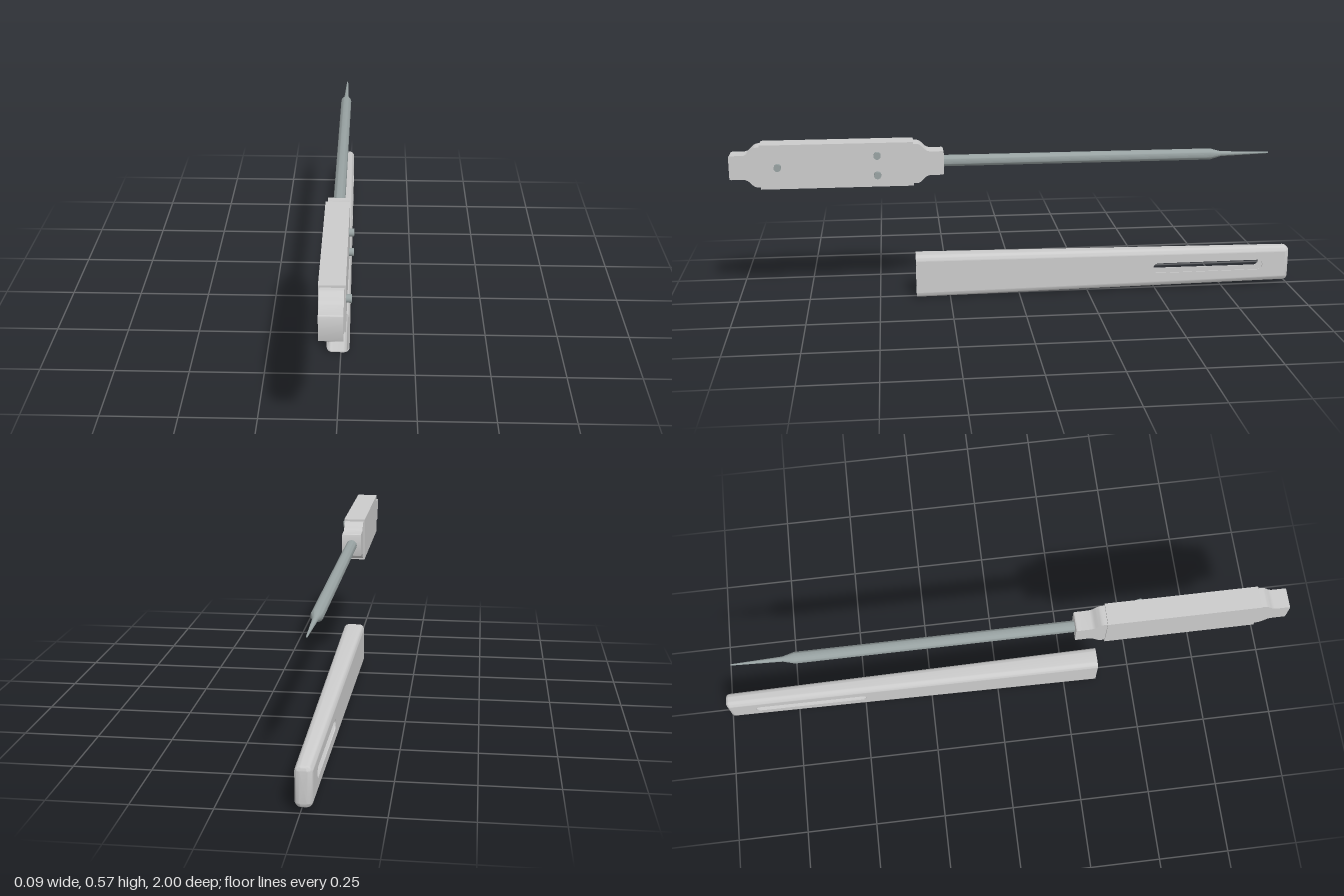
import * as THREE from 'three';
import { toCreasedNormals } from 'three/addons/utils/BufferGeometryUtils.js';

const CX = -0.009; // common centre line of tool and sheath
const TOOL_Y = 0.4955, SHEATH_Y = 0.079;

export function createModel() {
  const plastic = new THREE.MeshStandardMaterial({ name: 'light grey plastic', color: 0xcbcbcb });
  const steel = new THREE.MeshStandardMaterial({ name: 'steel grey', color: 0x98a2a2 });
  const root = new THREE.Group();
  root.name = 'probeWithSheath';
  const tool = new THREE.Group();
  tool.name = 'probe';
  tool.position.set(CX, TOOL_Y, 0);
  const sheath = new THREE.Group();
  sheath.name = 'sheath';
  sheath.position.set(CX, SHEATH_Y, 0);
  root.add(tool, sheath);

  const add = (parent, name, geo, mat, x = 0, y = 0, z = 0) => {
    const m = new THREE.Mesh(geo, mat);
    m.name = name;
    m.position.set(x, y, z);
    parent.add(m);
    return m;
  };

  // Handle body
  add(tool, 'handleBody', new THREE.BoxGeometry(0.078, 0.155, 0.525), plastic, 0, 0, 0.6325);

  // Necked end caps, one at each end of the handle
  const cap = new THREE.Shape();
  cap.moveTo(0, -0.07);
  cap.lineTo(0.01, -0.07);
  cap.bezierCurveTo(0.032, -0.07, 0.034, -0.042, 0.06, -0.042);
  cap.lineTo(0.099, -0.042);
  cap.quadraticCurveTo(0.105, -0.042, 0.105, -0.036);
  cap.lineTo(0.105, 0.036);
  cap.quadraticCurveTo(0.105, 0.042, 0.099, 0.042);
  cap.lineTo(0.06, 0.042);
  cap.bezierCurveTo(0.034, 0.042, 0.032, 0.07, 0.01, 0.07);
  cap.lineTo(0, 0.07);
  for (const [name, z, dir] of [['frontCap', 0.895, -1], ['backCap', 0.37, 1]]) {
    const g = new THREE.ExtrudeGeometry(cap, { depth: 0.07, bevelEnabled: false, curveSegments: 8 });
    g.translate(0, 0, -0.035).rotateY(dir * Math.PI / 2);
    add(tool, name, toCreasedNormals(g, 0.5), plastic, 0, 0, z);
  }

  // Buttons on the side face
  for (const [y, z] of [[0, 0.835], [0.034, 0.495], [-0.035, 0.495]]) {
    const g = new THREE.CylinderGeometry(0.0125, 0.0125, 0.018, 24).rotateZ(-Math.PI / 2);
    add(tool, 'button', g, steel, 0.046, y, z);
  }

  // Rod with shoulder and needle tip
  const profile = [[0, -0.28], [0.02, -0.28], [0.02, 0.69], [0.009, 0.73], [0.0025, 0.905], [0, 0.905]]
    .map(([r, h]) => new THREE.Vector2(r, h));
  const rod = new THREE.LatheGeometry(profile, 32).rotateX(-Math.PI / 2);
  add(tool, 'rod', toCreasedNormals(rod, 0.4), steel);

  // Tapered sheath: half sizes at any z
  const OPEN = 0.37, END = -1, R = 0.02, T = 0.004, F = 0.016, N = 6;
  const taper = z => (OPEN - z) / (OPEN - END);
  const halfW = z => 0.039 - 0.012 * taper(z);
  const halfH = z => 0.0785 - 0.0135 * taper(z);

  // Rounded rectangle ring, pulled inwards by inset
  const ring = (z, inset) => {
    const pts = [], r = Math.max(R - inset, 0.002);
    const w = halfW(z) - inset - r, h = halfH(z) - inset - r;
    for (let c = 0; c < 4; c++) {
      const sx = c === 0 || c === 3 ? 1 : -1, sy = c < 2 ? 1 : -1;
      for (let i = 0; i <= N; i++) {
        const a = (c + i / N) * Math.PI / 2;
        pts.push([sx * w + r * Math.cos(a), sy * h + r * Math.sin(a), z]);
      }
    }
    return pts;
  };

  // Rings along the outside or inside, rounding over at the closed end
  const wall = (inset, end, fillet) => {
    const rings = [ring(OPEN, inset), ring(END + F, inset)];
    const start = END + F;
    for (let i = 1; i <= 6; i++) {
      const a = i / 6 * Math.PI / 2;
      rings.push(ring(start - (start - end) * Math.sin(a), inset + fillet * (1 - Math.cos(a))));
    }
    return rings;
  };

  const pos = [];
  const quad = (a, b, c, d) => pos.push(...a, ...b, ...c, ...a, ...c, ...d);
  const loft = (rings, flip, skipSides) => {
    const n = rings[0].length;
    for (let k = 0; k + 1 < rings.length; k++) {
      for (let i = 0; i < n; i++) {
        // the flat sides of the long stretch are separate slotted panels
        if (skipSides && k === 0 && (i === 2 * N + 1 || i === n - 1)) continue;
        const j = (i + 1) % n, A = rings[k], B = rings[k + 1];
        if (flip) quad(A[i], B[i], B[j], A[j]);
        else quad(A[i], A[j], B[j], B[i]);
      }
    }
  };
  const close = (r, flip) => {
    const mid = [0, 0, r[0][2]];
    r.forEach((p, i) => {
      const q = r[(i + 1) % r.length];
      if (flip) pos.push(...mid, ...p, ...q);
      else pos.push(...mid, ...q, ...p);
    });
  };
  const outer = wall(0, END, F), inner = wall(T, END + T, F - T);
  loft(outer, true, true);
  loft(inner, false, true);
  loft([outer[0], inner[0]], false, false);
  close(outer[outer.length - 1], false);
  close(inner[inner.length - 1], true);
  const shell = new THREE.BufferGeometry();
  shell.setAttribute('position', new THREE.Float32BufferAttribute(pos, 3));
  const shellMesh = add(sheath, 'sheathShell', toCreasedNormals(shell, 0.6), plastic);
  shellMesh.material = plastic;

  // Slotted side panels, leaning with the taper
  const z1 = END + F, h0 = halfH(OPEN) - R, h1 = halfH(z1) - R;
  const panel = new THREE.Shape([[-OPEN, -h0], [-z1, -h1], [-z1, h1], [-OPEN, h0]]
    .map(p => new THREE.Vector2(...p)));
  const slot = new THREE.Path();
  const s = 0.0185;
  slot.absarc(0.49 + s, 0.0005, s, Math.PI / 2, Math.PI * 1.5, false);
  slot.absarc(0.9 - s, 0.0005, s, -Math.PI / 2, Math.PI / 2, false);
  slot.closePath();
  panel.holes.push(slot);
  for (const side of [1, -1]) {
    const g = new THREE.ExtrudeGeometry(panel, { depth: T, bevelEnabled: false, curveSegments: 12 });
    g.rotateY(Math.PI / 2);
    const p = g.attributes.position;
    for (let i = 0; i < p.count; i++) {
      const w = halfW(p.getZ(i));
      p.setX(i, p.getX(i) + (side > 0 ? w - T : -w));
    }
    add(sheath, side > 0 ? 'leftSlottedPanel' : 'rightSlottedPanel', toCreasedNormals(g, 0.5), plastic);
  }
  return root;
}
